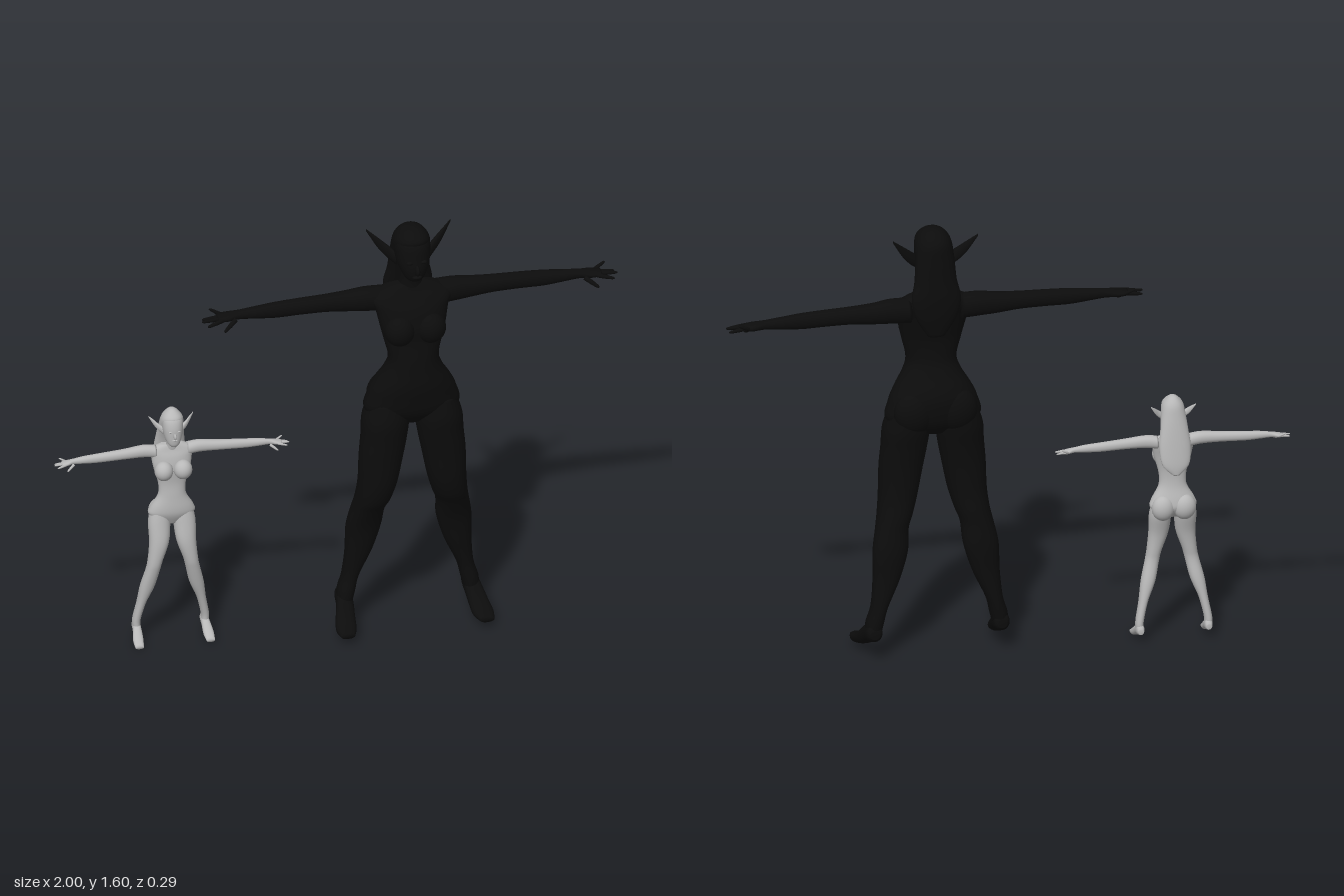
import * as THREE from 'three';

const black = new THREE.MeshStandardMaterial({ color: 0x0c0c0c });
black.name = 'black';
const grey = new THREE.MeshStandardMaterial({ color: 0xb8b8b8 });
grey.name = 'grey';

// Smooth loft through oval sections [t, u0, u1, v0, v1] along an axis:
// 'y' has u = x, v = z; 'x' has u = y, v = z; 'z' has u = x, v = y.
function loft(rows, axis, side = 1, n = 32, sub = 5) {
  const at = (i) => rows[Math.max(0, Math.min(rows.length - 1, i))];
  const place = { x: (t, u, v) => [t, u, v], y: (t, u, v) => [u, t, v], z: (t, u, v) => [u, v, t] }[axis];
  const pos = [], idx = [];
  const add = (t, u, v) => { const p = place(t, u, v); pos.push(p[0] * side, p[1], p[2]); };
  const steps = (rows.length - 1) * sub;
  for (let s = 0; s <= steps; s++) {
    const i = Math.min(Math.floor(s / sub), rows.length - 2), f = s / sub - i;
    const [t, u0, u1, v0, v1] = at(i).map((_, k) => {
      const p = at(i - 1)[k], a = at(i)[k], b = at(i + 1)[k], q = at(i + 2)[k];
      const m0 = (b - p) / 2, m1 = (q - a) / 2, d = b - a;
      return a + f * (m0 + f * (3 * d - 2 * m0 - m1 + f * (m0 + m1 - 2 * d)));
    });
    for (let j = 0; j < n; j++) {
      const w = (j / n) * Math.PI * 2, c = Math.cos(w), e = Math.sin(w);
      const sq = (x) => Math.sign(x) * Math.pow(Math.abs(x), 0.92);
      add(t, (u0 + u1) / 2 + sq(c) * (u1 - u0) / 2, (v0 + v1) / 2 + sq(e) * (v1 - v0) / 2);
    }
  }
  const tri = (a, b, c) => idx.push(a, b, c);
  for (let s = 0; s < steps; s++) for (let j = 0; j < n; j++) {
    const a = s * n + j, b = s * n + (j + 1) % n;
    tri(a, a + n, b); tri(b, a + n, b + n);
  }
  const ends = [rows[0], rows[rows.length - 1]];
  ends.forEach((r, e) => {
    const c = pos.length / 3, base = e ? steps * n : 0;
    add(r[0], (r[1] + r[2]) / 2, (r[3] + r[4]) / 2);
    for (let j = 0; j < n; j++) {
      const a = base + j, b = base + (j + 1) % n;
      e ? tri(b, a, c) : tri(a, b, c);
    }
  });
  // Turn the faces outward, judged by the enclosed volume
  let vol = 0;
  const P = (i) => new THREE.Vector3(pos[3 * i], pos[3 * i + 1], pos[3 * i + 2]);
  for (let i = 0; i < idx.length; i += 3) vol += P(idx[i]).dot(P(idx[i + 1]).cross(P(idx[i + 2])));
  if (vol < 0) idx.reverse();
  const g = new THREE.BufferGeometry();
  g.setAttribute('position', new THREE.Float32BufferAttribute(pos, 3));
  g.setIndex(idx);
  g.computeVertexNormals();
  return g;
}

// Symmetric section: [t, half width, v0, v1]
const sym = (rows) => rows.map(([t, w, a, b]) => [t, -w, w, a, b]);

// Ellipsoid at a point
function blob(x, y, z, rx, ry, rz) {
  return new THREE.SphereGeometry(1, 24, 16).scale(rx, ry, rz).translate(x, y, z);
}

// Tapered finger with a rounded tip
function finger(a, b, r) {
  const d = b.clone().sub(a), L = d.length();
  const prof = [[0, 0], [r, 0.001], [r * 0.9, L * 0.5], [r * 0.65, L * 0.88], [r * 0.35, L * 0.98], [0, L]];
  const g = new THREE.LatheGeometry(prof.map(([x, y]) => new THREE.Vector2(x, y)), 10);
  g.applyQuaternion(new THREE.Quaternion().setFromUnitVectors(new THREE.Vector3(0, 1, 0), d.normalize()));
  return g.translate(a.x, a.y, a.z);
}

// Finger start, end and radius, measured from the knuckles
const FINGERS = [
  ['indexFinger', -0.01, 0, 0.021, 0.05, -0.012, 0.036, 0.008],
  ['middleFinger', -0.01, 0, 0.008, 0.066, -0.003, 0.012, 0.008],
  ['ringFinger', -0.01, 0, -0.007, 0.06, -0.008, -0.013, 0.008],
  ['littleFinger', -0.012, 0, -0.021, 0.03, 0.022, -0.033, 0.007],
  ['thumb', -0.055, -0.003, 0.02, -0.008, -0.036, 0.045, 0.009],
];

function figure(name, mat, s) {
  const group = new THREE.Group();
  group.name = name;
  const part = (label, geo) => {
    const m = new THREE.Mesh(geo, mat);
    m.name = label;
    group.add(m);
  };
  part('torso', loft(sym(s.torso), 'y'));
  part('neck', loft(sym(s.neck), 'y'));
  part('head', loft(sym(s.head), 'y'));
  part('hair', loft(sym(s.hair), 'y'));
  const [fy, fz, k] = s.face;
  part('nose', blob(0, fy, fz, 0.009 * k, 0.02 * k, 0.017 * k));
  part('mouth', blob(0, fy - 0.028 * k, fz - 0.006 * k, 0.017 * k, 0.006 * k, 0.01 * k));
  for (const [label, side] of [['left', 1], ['right', -1]]) {
    const put = (p, rows, axis) => part(label + p, loft(rows, axis, side));
    put('Leg', s.leg, 'y');
    put('Foot', s.foot, 'z');
    put('Arm', s.arm, 'x');
    put('Ear', s.ear, 'x');
    part(label + 'Chest', blob(side * s.chest[0], ...s.chest.slice(1)));
    part(label + 'Hip', blob(side * s.hip[0], ...s.hip.slice(1)));
    part(label + 'Eye', blob(side * 0.025 * k, fy + 0.027 * k, fz - 0.013 * k, 0.012 * k, 0.007 * k, 0.009 * k));
    const [hx, hy, hz] = s.knuckles;
    for (const [f, ax, ay, az, bx, by, bz, r] of FINGERS) {
      const v = (x, y, z) => new THREE.Vector3(side * (hx + x * k), hy + y * k, hz + z * k);
      part(label + f, finger(v(ax, ay, az), v(bx, by, bz), r * k));
    }
  }
  return group;
}

const TALL = {
  torso: [[0.83, 0.05, -0.01, 0.075], [0.88, 0.165, -0.045, 0.115], [0.95, 0.158, -0.055, 0.13],
    [1.0, 0.135, -0.045, 0.135], [1.05, 0.105, -0.02, 0.132], [1.1, 0.09, -0.002, 0.128],
    [1.17, 0.105, 0, 0.118], [1.22, 0.117, -0.01, 0.12], [1.28, 0.13, -0.025, 0.105],
    [1.32, 0.145, -0.035, 0.082], [1.35, 0.105, -0.035, 0.062], [1.372, 0.045, -0.03, 0.052]],
  neck: [[1.33, 0.05, -0.03, 0.06], [1.38, 0.04, -0.02, 0.057], [1.45, 0.042, -0.02, 0.065]],
  head: [[1.41, 0.02, 0.05, 0.103], [1.425, 0.036, 0.03, 0.117], [1.46, 0.053, -0.01, 0.124],
    [1.5, 0.062, -0.03, 0.12], [1.55, 0.062, -0.035, 0.11], [1.583, 0.042, -0.01, 0.08], [1.595, 0.012, 0.01, 0.05]],
  hair: [[1.21, 0.03, -0.035, -0.005], [1.28, 0.072, -0.048, 0], [1.35, 0.088, -0.053, 0.01],
    [1.42, 0.075, -0.05, 0.03], [1.5, 0.069, -0.046, 0.062], [1.555, 0.063, -0.04, 0.108],
    [1.588, 0.04, -0.012, 0.082], [1.6, 0.012, 0.015, 0.05]],
  leg: [[0.92, 0.02, 0.155, -0.045, 0.11], [0.85, 0.012, 0.178, -0.045, 0.125], [0.78, 0.02, 0.183, -0.035, 0.123],
    [0.7, 0.035, 0.19, -0.028, 0.12], [0.6, 0.055, 0.193, -0.03, 0.116], [0.53, 0.075, 0.2, -0.04, 0.1],
    [0.48, 0.093, 0.21, -0.045, 0.072], [0.4, 0.1, 0.225, -0.055, 0.04], [0.3, 0.13, 0.227, -0.056, 0.025],
    [0.2, 0.175, 0.236, -0.063, 0.015], [0.14, 0.19, 0.253, -0.064, 0.02], [0.09, 0.202, 0.256, -0.06, 0.02]],
  foot: [[-0.064, 0.212, 0.245, 0.09, 0.12], [-0.05, 0.2, 0.256, 0.076, 0.14], [0, 0.2, 0.262, 0.055, 0.13],
    [0.05, 0.205, 0.276, 0.03, 0.085], [0.09, 0.21, 0.283, 0.02, 0.06], [0.132, 0.225, 0.275, 0.025, 0.045]],
  arm: [[0.09, 1.262, 1.35, -0.04, 0.05], [0.16, 1.266, 1.352, -0.038, 0.045], [0.22, 1.27, 1.345, -0.035, 0.036],
    [0.3, 1.277, 1.34, -0.03, 0.03], [0.395, 1.278, 1.337, -0.028, 0.027], [0.48, 1.277, 1.333, -0.026, 0.025],
    [0.55, 1.283, 1.326, -0.023, 0.022], [0.61, 1.288, 1.32, -0.019, 0.018], [0.655, 1.288, 1.315, -0.028, 0.028],
    [0.69, 1.292, 1.309, -0.025, 0.026]],
  ear: [[0.055, 1.45, 1.5, 0.015, 0.05], [0.085, 1.475, 1.525, 0.005, 0.03], [0.115, 1.51, 1.55, -0.003, 0.013],
    [0.152, 1.572, 1.58, -0.012, -0.008]],
  chest: [0.055, 1.215, 0.092, 0.055, 0.058, 0.05],
  hip: [0.075, 0.92, -0.01, 0.075, 0.08, 0.05],
  face: [1.465, 0.127, 1],
  knuckles: [0.682, 1.3, 0],
};

const SMALL = {
  torso: [[0.465, 0.025, -0.015, 0.02], [0.5, 0.08, -0.038, 0.036], [0.53, 0.077, -0.036, 0.04],
    [0.58, 0.05, -0.02, 0.036], [0.63, 0.05, -0.015, 0.032], [0.69, 0.066, -0.02, 0.036],
    [0.73, 0.073, -0.028, 0.03], [0.757, 0.08, -0.028, 0.02], [0.778, 0.035, -0.022, 0.014]],
  neck: [[0.75, 0.024, -0.02, 0.018], [0.78, 0.02, -0.014, 0.022], [0.82, 0.021, -0.014, 0.028]],
  head: [[0.79, 0.012, 0.025, 0.054], [0.802, 0.023, 0.008, 0.06], [0.83, 0.033, -0.018, 0.062],
    [0.865, 0.037, -0.028, 0.06], [0.895, 0.032, -0.022, 0.048], [0.917, 0.008, -0.002, 0.02]],
  hair: [[0.645, 0.012, -0.07, -0.055], [0.68, 0.047, -0.07, -0.04], [0.74, 0.056, -0.062, -0.018],
    [0.8, 0.05, -0.052, 0], [0.85, 0.044, -0.042, 0.025], [0.89, 0.037, -0.032, 0.05],
    [0.914, 0.018, -0.015, 0.028], [0.921, 0.005, 0, 0.012]],
  leg: [[0.52, 0.008, 0.075, -0.033, 0.03], [0.47, 0.006, 0.084, -0.03, 0.04], [0.4, 0.013, 0.083, -0.013, 0.052],
    [0.33, 0.036, 0.089, -0.006, 0.053], [0.29, 0.046, 0.096, -0.006, 0.048], [0.22, 0.062, 0.113, -0.02, 0.034],
    [0.15, 0.09, 0.123, -0.028, 0.018], [0.08, 0.107, 0.136, -0.036, 0.006], [0.05, 0.108, 0.136, -0.037, 0.005]],
  foot: [[-0.043, 0.112, 0.13, 0.036, 0.055], [-0.03, 0.107, 0.136, 0.03, 0.07], [0, 0.107, 0.138, 0.022, 0.06],
    [0.035, 0.107, 0.144, 0.004, 0.035], [0.068, 0.112, 0.142, 0.001, 0.014]],
  arm: [[0.055, 0.727, 0.772, -0.026, 0.02], [0.1, 0.733, 0.777, -0.023, 0.018], [0.17, 0.733, 0.77, -0.018, 0.017],
    [0.26, 0.73, 0.763, -0.015, 0.014], [0.31, 0.732, 0.759, -0.013, 0.013], [0.35, 0.734, 0.753, -0.01, 0.01],
    [0.372, 0.732, 0.748, -0.015, 0.016], [0.392, 0.733, 0.743, -0.014, 0.014]],
  ear: [[0.032, 0.825, 0.853, 0.005, 0.024], [0.05, 0.84, 0.866, 0, 0.014], [0.063, 0.856, 0.877, -0.006, 0.004],
    [0.08, 0.885, 0.889, -0.012, -0.01]],
  chest: [0.034, 0.687, 0.034, 0.033, 0.036, 0.034],
  hip: [0.038, 0.503, -0.018, 0.041, 0.047, 0.034],
  face: [0.836, 0.064, 0.58],
  knuckles: [0.381, 0.739, 0],
};

export function createModel() {
  const model = new THREE.Group();
  model.name = 'twoFigures';
  const tall = figure('tallFigure', black, TALL);
  tall.position.x = 0.253;
  const small = figure('smallFigure', grey, SMALL);
  small.position.set(-0.583, 0, -0.075);
  small.rotation.y = -0.035;
  model.add(tall, small);
  return model;
}
